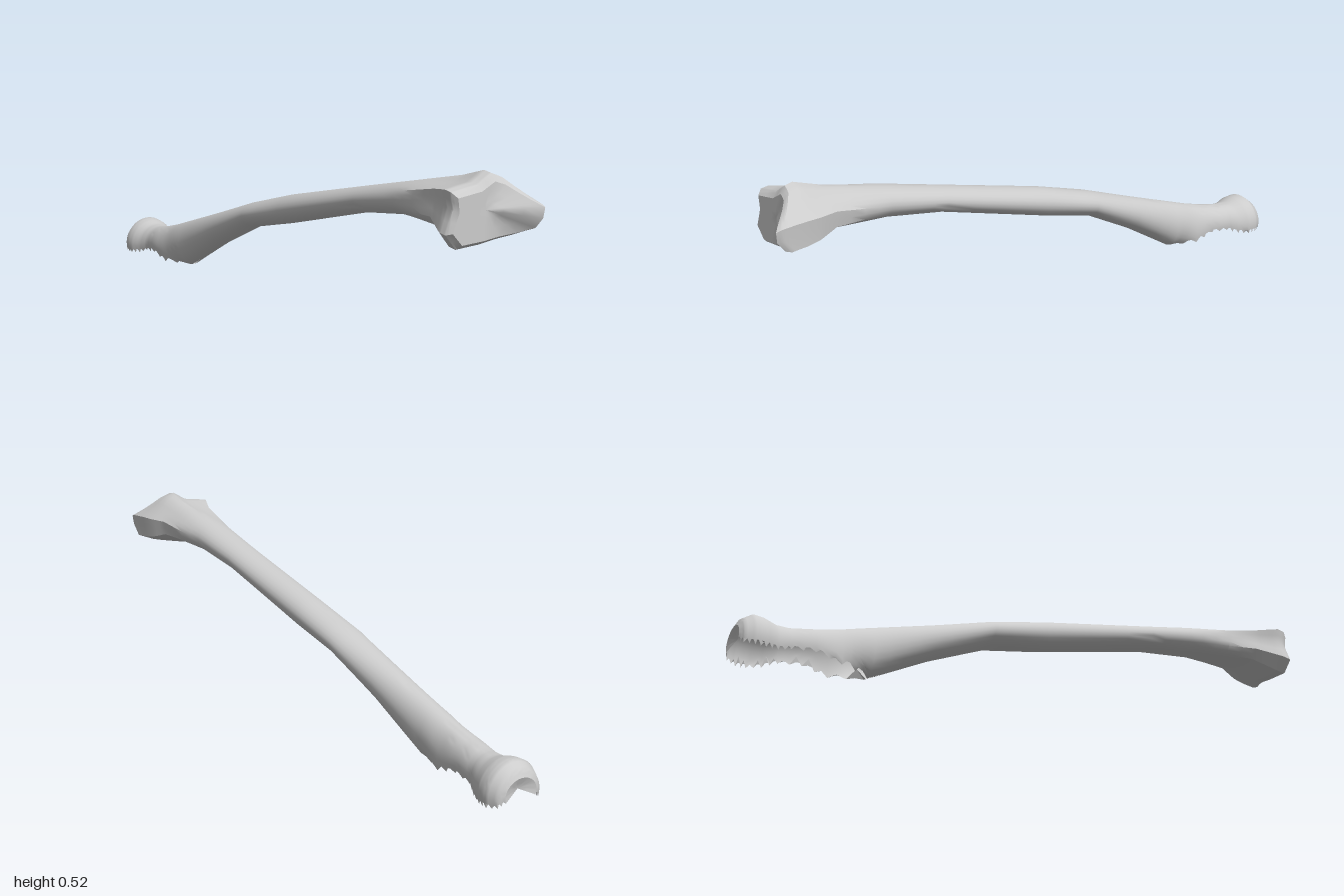
import * as THREE from 'three';
import { mergeVertices, toCreasedNormals } from 'three/addons/utils/BufferGeometryUtils.js';

const { lerp, smoothstep } = THREE.MathUtils;
const N = 24, STEPS = 4;

// Bone sections: z, min x, max x, bottom y, top y
const sections = [
  [-1.0, -0.055, 0.055, 0.02, 0.08],
  [-0.99, -0.075, 0.075, 0.005, 0.1],
  [-0.96, -0.09, 0.09, 0, 0.12],
  [-0.93, -0.089, 0.088, 0, 0.117],
  [-0.89, -0.075, 0.072, 0.005, 0.105],
  [-0.85, -0.066, 0.052, 0.02, 0.104],
  [-0.78, -0.073, 0.045, 0.025, 0.115],
  [-0.7, -0.072, 0.045, 0.005, 0.135],
  [-0.6, -0.069, 0.047, 0.005, 0.165],
  [-0.4, -0.062, 0.056, 0.112, 0.225],
  [-0.2, -0.058, 0.07, 0.203, 0.287],
  [0.0, -0.05, 0.073, 0.245, 0.338],
  [0.4, -0.051, 0.072, 0.34, 0.42],
  [0.6, -0.064, 0.075, 0.364, 0.46],
  [0.8, -0.096, 0.103, 0.368, 0.5],
  [0.885, -0.134, 0.126, 0.33, 0.524],
  [0.91, -0.134, 0.131, 0.326, 0.519],
  [0.925, -0.122, 0.126, 0.338, 0.498],
];

// Outline of the flared end, counter-clockwise from the bottom
const flare = [
  [-0.02, 0.333], [0.08, 0.352], [0.125, 0.368], [0.131, 0.44], [0.1, 0.465], [0.05, 0.51],
  [0.018, 0.523], [-0.03, 0.495], [-0.118, 0.482], [-0.112, 0.435], [-0.135, 0.37], [-0.1, 0.328],
].map(([x, y]) => new THREE.Vector2((x + 0.002) / 0.133, (y - 0.425) / 0.098));

function flarePoint(j) {
  const i = Math.floor(j / 2);
  return flare[i % 12].clone().lerp(flare[(i + 1) % 12], (j % 2) / 2);
}

function ring([z, x0, x1, y0, y1], k) {
  const gap = 1.25 * smoothstep(-z, 0.58, 0.72); // half-angle of the opening underneath
  const blend = smoothstep(z, 0.55, 0.88);
  const tip = 0.08 * smoothstep(z, 0.86, 0.92); // forward point on the left side
  const cx = (x0 + x1) / 2, rx = (x1 - x0) / 2;
  const ry = (y1 - y0) / (1 + Math.cos(gap)), cy = y1 - ry;
  const points = [];
  for (let j = 0; j <= N; j++) {
    const a = -Math.PI / 2 + gap + (j / N) * 2 * (Math.PI - gap);
    const f = flarePoint(j);
    const u = lerp(Math.cos(a), f.x, blend);
    const v = lerp(Math.sin(a), f.y, blend);
    let y = cy + ry * v;
    // Torn teeth along the rim of the opening
    if (gap > 0.3 && j % N === 0 && k % 2) y += 0.022 + 0.012 * Math.sin(k * 2.3 + j);
    const forward = tip * Math.max(0, u) * Math.max(0, 1 - v * v);
    points.push(new THREE.Vector3(cx + rx * u, Math.max(0, y), z + forward));
  }
  return points;
}

function surface(rings) {
  const positions = rings.flat().flatMap((p) => p.toArray());
  const index = [];
  const w = N + 1;
  for (let i = 0; i < rings.length - 1; i++) {
    for (let j = 0; j < N; j++) {
      const a = i * w + j, b = a + 1, c = a + w, d = c + 1;
      index.push(a, b, d, a, d, c);
    }
  }
  const geometry = new THREE.BufferGeometry();
  geometry.setAttribute('position', new THREE.Float32BufferAttribute(positions, 3));
  geometry.setIndex(index);
  return toCreasedNormals(mergeVertices(geometry, 1e-5), 0.7);
}

// Copy of a ring drawn in towards a point
const shrink = (points, centre, t) => points.map((p) => p.clone().lerp(centre, t));

export function createModel() {
  const group = new THREE.Group();
  const material = new THREE.MeshStandardMaterial({ color: 0xcccccc, side: THREE.DoubleSide });
  const add = (name, rings) => {
    const mesh = new THREE.Mesh(surface(rings), material);
    mesh.name = name;
    group.add(mesh);
  };

  // Shaft with rounded head at the back and flared front
  const rings = [];
  for (let i = 0; i < sections.length - 1; i++) {
    for (let s = 0; s < STEPS; s++) {
      const mix = sections[i].map((v, c) => lerp(v, sections[i + 1][c], s / STEPS));
      rings.push(ring(mix, rings.length));
    }
  }
  const last = ring(sections.at(-1), rings.length);
  rings.push(last);
  add('boneShaft', rings);

  // Slightly dished end of the head
  const back = new THREE.Vector3(0, 0.045, -0.985);
  add('headEnd', [1, 0.5, 0].map((t) => shrink(rings[0], back, t)));

  // Hollow joint face at the flared end
  const front = new THREE.Vector3(-0.01, 0.425, 0.925);
  add('jointFace', [0, 0.35, 0.7, 1].map((t) => shrink(last, front, t)));

  return group;
}
